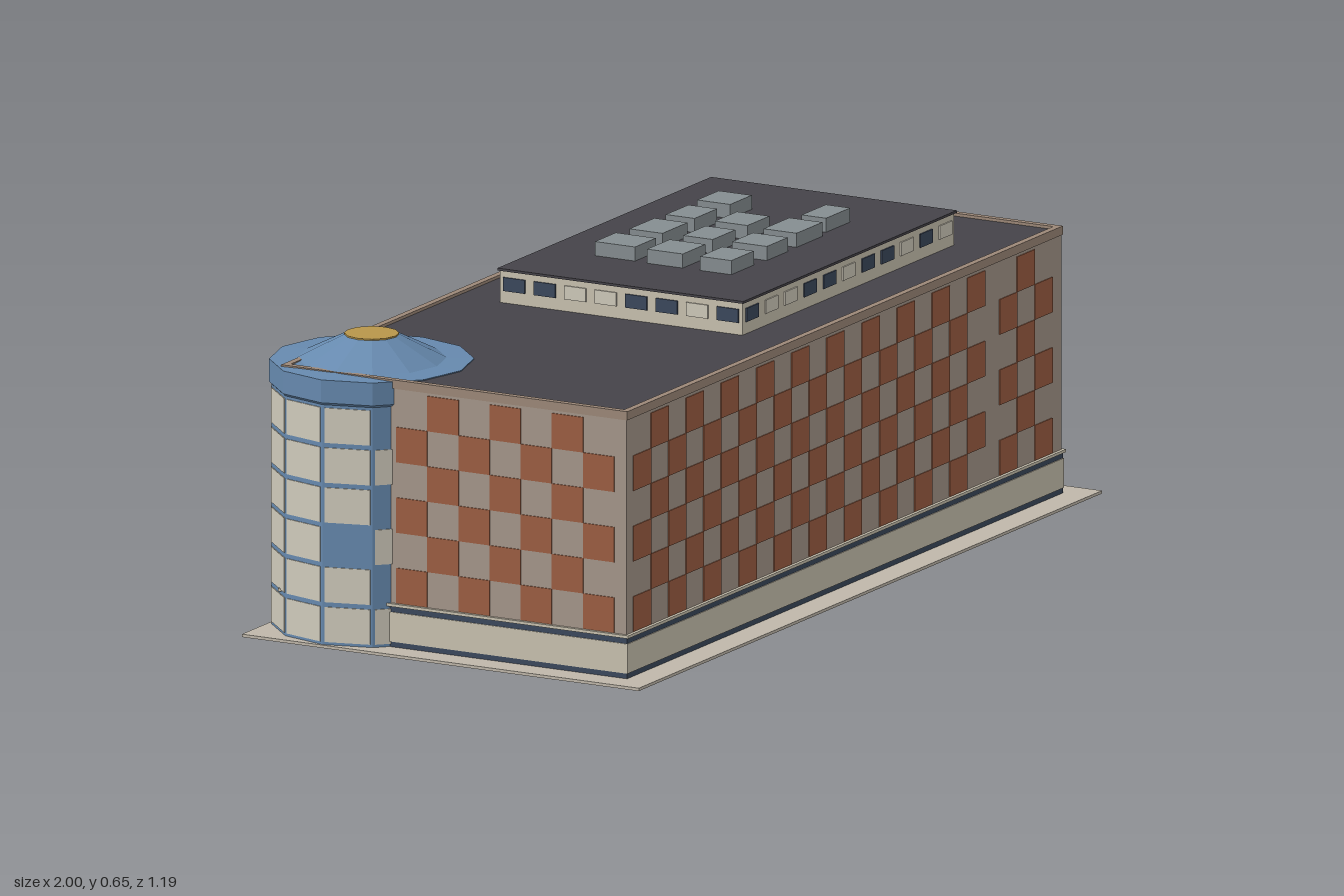
import * as THREE from 'three';

const COLORS = {
  paving: 0xbfb7aa, cream: 0xc9c2b0, navy: 0x3b485c, wall: 0xa5968a, brick: 0x9c5e42,
  trim: 0x9c8878, roof: 0x454349, blue: 0x6689ae, glass: 0xcfcabb, gold: 0xb8964a, metal: 0x858d90,
};
const mats = {};
for (const [k, c] of Object.entries(COLORS)) {
  mats[k] = new THREE.MeshStandardMaterial({ color: c, flatShading: true });
}

// Box centred on (x, z), spanning y0..y1
function box(parent, name, mat, w, d, y0, y1, x = 0, z = 0) {
  const m = new THREE.Mesh(new THREE.BoxGeometry(w, y1 - y0, d), mats[mat]);
  m.position.set(x, (y0 + y1) / 2, z);
  m.name = name;
  parent.add(m);
  return m;
}

// Group whose +z is a facade's outward normal, with x running along the facade
function facade(parent, name, angle, dist) {
  const pivot = new THREE.Group();
  pivot.name = name;
  pivot.rotation.y = angle;
  const face = new THREE.Group();
  face.position.z = dist;
  pivot.add(face);
  parent.add(pivot);
  return face;
}

// Chequered brick tiles; each run is [start, number of columns]
function checker(face, runs, width, dir = 1) {
  const y0 = 0.097, h = 0.0725;
  let col = 0;
  for (const [start, count] of runs) {
    for (let i = 0; i < count; i++, col++) {
      for (let row = 0; row < 6; row++) {
        if ((row + col) % 2) continue;
        box(face, 'brickTile', 'brick', width, 0.004, y0 + row * h, y0 + (row + 1) * h,
          dir * (start + (i + 0.5) * width));
      }
    }
  }
}

// Row of small windows; 1 = dark, 0 = light
function windows(face, pattern, pitch) {
  [...pattern].forEach((p, i) => {
    box(face, 'penthouseWindow', p === '1' ? 'navy' : 'glass', 0.05, 0.006, 0.575, 0.603,
      (i - (pattern.length - 1) / 2) * pitch);
  });
}

export function createModel() {
  const model = new THREE.Group();
  model.name = 'cornerTowerBuilding';
  const site = new THREE.Group();
  site.name = 'site';
  site.rotation.y = 0.157;
  model.add(site);

  const W = 1.766, D = 0.79;
  box(site, 'groundSlab', 'paving', 1.882, 0.911, 0, 0.006);

  // Plinth layers
  box(site, 'plinthFoot', 'navy', W + 0.004, D + 0.004, 0.006, 0.017);
  box(site, 'plinth', 'cream', W + 0.008, D + 0.008, 0.017, 0.078);
  box(site, 'plinthBand', 'navy', W + 0.004, D + 0.004, 0.078, 0.09);
  box(site, 'plinthLedge', 'cream', W + 0.014, D + 0.014, 0.09, 0.096);

  // Main block, roof and parapet
  box(site, 'mainBlock', 'wall', W, D, 0.096, 0.54);
  box(site, 'roof', 'roof', W - 0.01, D - 0.01, 0.54, 0.55);
  for (const s of [-1, 1]) {
    box(site, 'parapet', 'trim', W + 0.004, 0.014, 0.538, 0.556, 0, s * (D / 2 - 0.005));
    box(site, 'parapet', 'trim', 0.014, D - 0.024, 0.538, 0.556, s * (W / 2 - 0.005), 0);
  }

  // Chequered facades
  checker(facade(site, 'frontFacade', 0, D / 2), [[-0.858, 20], [0.63, 3]], 0.0714);
  checker(facade(site, 'backFacade', Math.PI, D / 2), [[-0.858, 20]], 0.0714);
  checker(facade(site, 'leftFacade', Math.PI / 2, W / 2), [[-0.367, 6], [0.101, 4]], 0.0715);
  checker(facade(site, 'rightFacade', -Math.PI / 2, W / 2), [[-0.367, 7]], 0.0715, -1);

  // Penthouse with window rows
  const penthouse = new THREE.Group();
  penthouse.name = 'penthouse';
  penthouse.position.set(0.231, 0, -0.004);
  site.add(penthouse);
  box(penthouse, 'penthouseWalls', 'cream', 0.86, 0.556, 0.54, 0.616);
  box(penthouse, 'penthouseRoof', 'roof', 0.868, 0.564, 0.616, 0.621);
  for (const a of [0, Math.PI]) {
    windows(facade(penthouse, 'penthouseLongSide', a, 0.278), '10011011010', 0.0785);
    windows(facade(penthouse, 'penthouseShortSide', a + Math.PI / 2, 0.43), '11001101', 0.07);
  }

  // Rooftop machines: [width, depth] for each place in the grid
  const units = [
    [[0.085, 0.092], [0.102, 0.076], [0.092, 0.066], [0.088, 0.076]],
    [[0.092, 0.082], [0.092, 0.068], [0.09, 0.075]],
    [[0.092, 0.072], [0.086, 0.08], [0.105, 0.076], [0.098, 0.056]],
  ];
  units.forEach((row, r) => row.forEach(([w, d], c) => {
    box(site, 'rooftopUnit', 'metal', w, d, 0.621, 0.65, 0.025 + 0.134 * c, -0.121 + 0.1165 * r);
  }));

  // Twelve-sided corner tower
  const tower = new THREE.Group();
  tower.name = 'cornerTower';
  tower.position.set(-0.737, 0, -0.273);
  site.add(tower);
  const R = 0.2, sides = 12;
  const shaft = new THREE.Mesh(new THREE.CylinderGeometry(R, R, 0.52, sides), mats.blue);
  shaft.position.y = 0.26;
  shaft.name = 'towerShaft';
  tower.add(shaft);
  const profile = [[R, 0.5], [0.205, 0.505], [0.205, 0.552], [0.15, 0.554], [0.055, 0.602]];
  const dome = new THREE.Mesh(
    new THREE.LatheGeometry(profile.map(p => new THREE.Vector2(...p)), sides), mats.blue);
  dome.name = 'towerRoof';
  tower.add(dome);
  const cap = new THREE.Mesh(new THREE.CylinderGeometry(0.055, 0.055, 0.006, sides), mats.gold);
  cap.position.y = 0.602;
  cap.name = 'towerCap';
  tower.add(cap);

  // Glazing on the exposed facets, with a few solid blue panels
  const apothem = R * Math.cos(Math.PI / sides);
  const blank = new Set(['5,5', '10,5', '10,3', '9,2', '10,1']);
  for (let i = 5; i <= 10; i++) {
    const facet = facade(tower, 'towerFacet', (i + 0.5) * 2 * Math.PI / sides, apothem);
    for (let row = 0; row < 6; row++) {
      if (blank.has(`${i},${row}`)) continue;
      const y = 0.012 + row * 0.082;
      box(facet, 'towerPane', 'glass', 0.094, 0.004, y, y + 0.072);
    }
  }
  return model;
}
